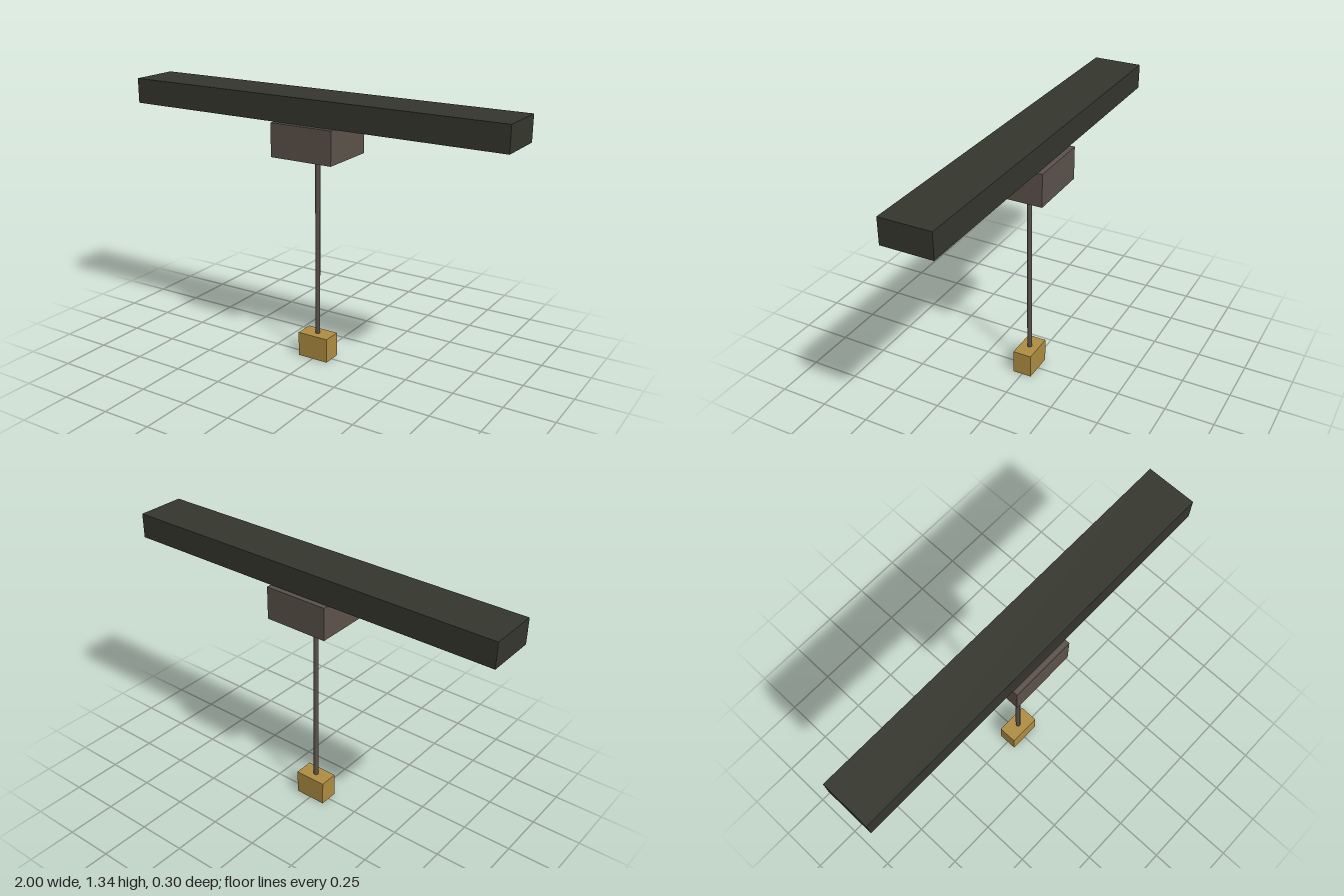
import * as THREE from 'three';

const material = (name, color) => {
  const m = new THREE.MeshStandardMaterial({ color });
  m.name = name;
  return m;
};

export function createModel() {
  const group = new THREE.Group();
  const darkWood = material('dark wood', 0x35362d);
  const greyBrown = material('grey brown', 0x5c524a);
  const brass = material('brass', 0xb08d42);

  const add = (name, geometry, mat, y) => {
    const mesh = new THREE.Mesh(geometry, mat);
    mesh.name = name;
    mesh.position.y = y;
    group.add(mesh);
  };
  // Box standing on y0 and reaching y1
  const box = (name, width, depth, y0, y1, mat) =>
    add(name, new THREE.BoxGeometry(width, y1 - y0, depth), mat, (y0 + y1) / 2);

  // Ceiling beam and the mounting block below it
  box('beam', 2, 0.25, 1.21, 1.335, darkWood);
  box('mountingBlock', 0.33, 0.3, 1.045, 1.21, greyBrown);

  // Thin rod with the hanging weight
  add('rod', new THREE.CylinderGeometry(0.0125, 0.0125, 0.94, 8), greyBrown, 0.585);
  box('weight', 0.166, 0.098, 0, 0.125, brass);

  return group;
}
